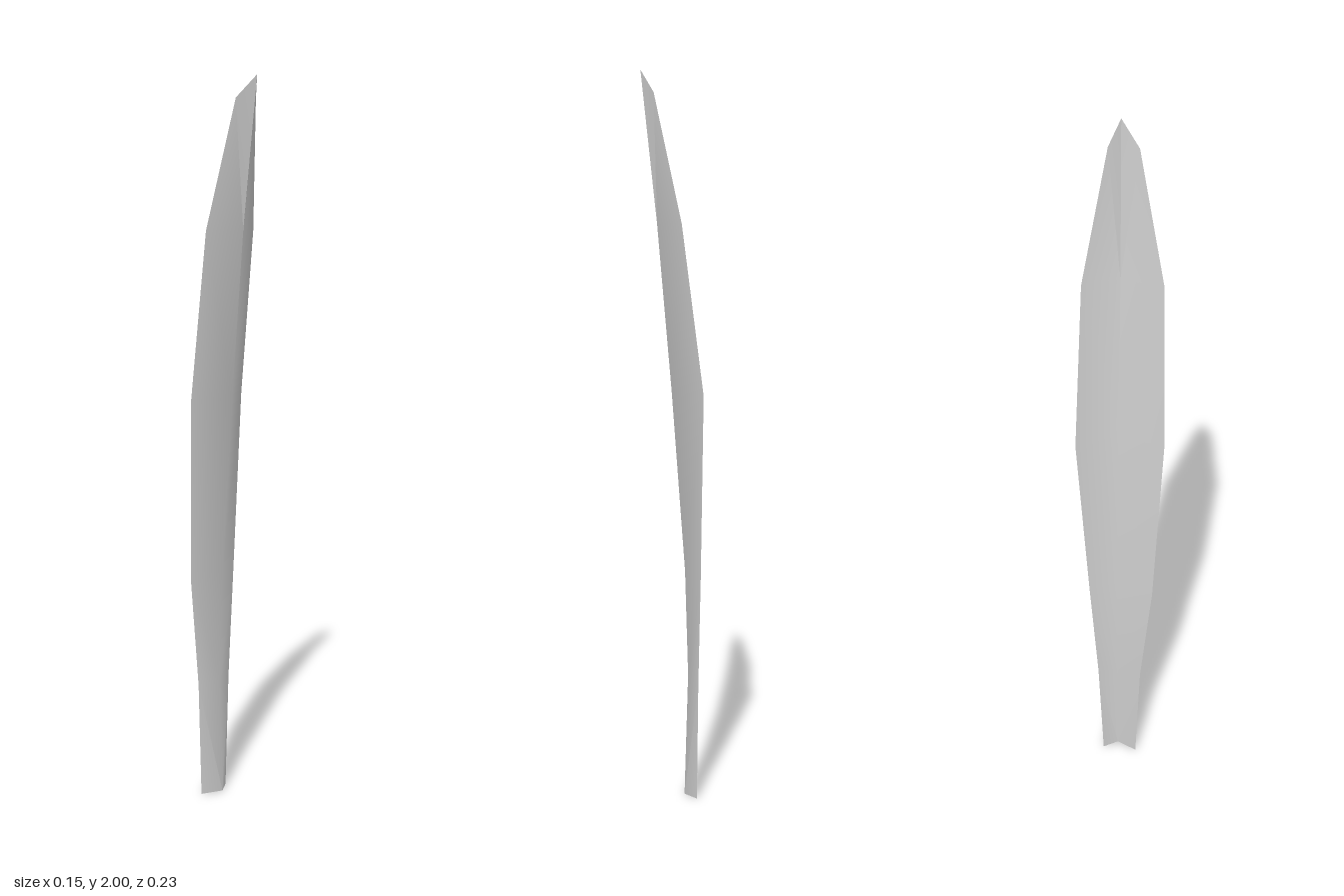
import * as THREE from 'three';
import { toCreasedNormals } from 'three/addons/utils/BufferGeometryUtils.js';

// Cross-sections from base to tip: front edge, midrib, back edge
const rows = [
  [[-0.075, 0, 0.048], [-0.048, 0, -0.011], [-0.075, 0, -0.052]],
  [[-0.073, 0.33, 0.06], [-0.058, 0.33, -0.012], [-0.075, 0.33, -0.065]],
  [[-0.07, 0.65, 0.092], [-0.048, 0.65, -0.012], [-0.076, 0.65, -0.087]],
  [[-0.042, 1.15, 0.115], [-0.01, 1.15, -0.012], [-0.075, 1.15, -0.118]],
  [[0.003, 1.6, 0.102], [0.03, 1.6, -0.012], [-0.018, 1.6, -0.104]],
  [[0.045, 1.94, 0.033], [0.075, 2, -0.016], [0.045, 1.94, -0.044]],
];

// Folded sheet: two halves meeting at the midrib, faces turned to +x
function bladeGeometry() {
  const positions = rows.flat(2);
  const index = [];
  for (let i = 0; i < rows.length - 1; i++) {
    const [f, m, b] = [3 * i, 3 * i + 1, 3 * i + 2];
    const [f2, m2, b2] = [f + 3, m + 3, b + 3];
    index.push(f, m, f2, m, m2, f2);
    index.push(m, b, b2, m, b2, m2);
  }
  const geometry = new THREE.BufferGeometry();
  geometry.setAttribute('position', new THREE.Float32BufferAttribute(positions, 3));
  geometry.setIndex(index);
  return toCreasedNormals(geometry, 0.85);
}

export function createModel() {
  const group = new THREE.Group();
  group.name = 'grassBlade';
  const material = new THREE.MeshStandardMaterial({ color: 0xcccccc, side: THREE.DoubleSide });
  const blade = new THREE.Mesh(bladeGeometry(), material);
  blade.name = 'blade';
  group.add(blade);
  return group;
}
